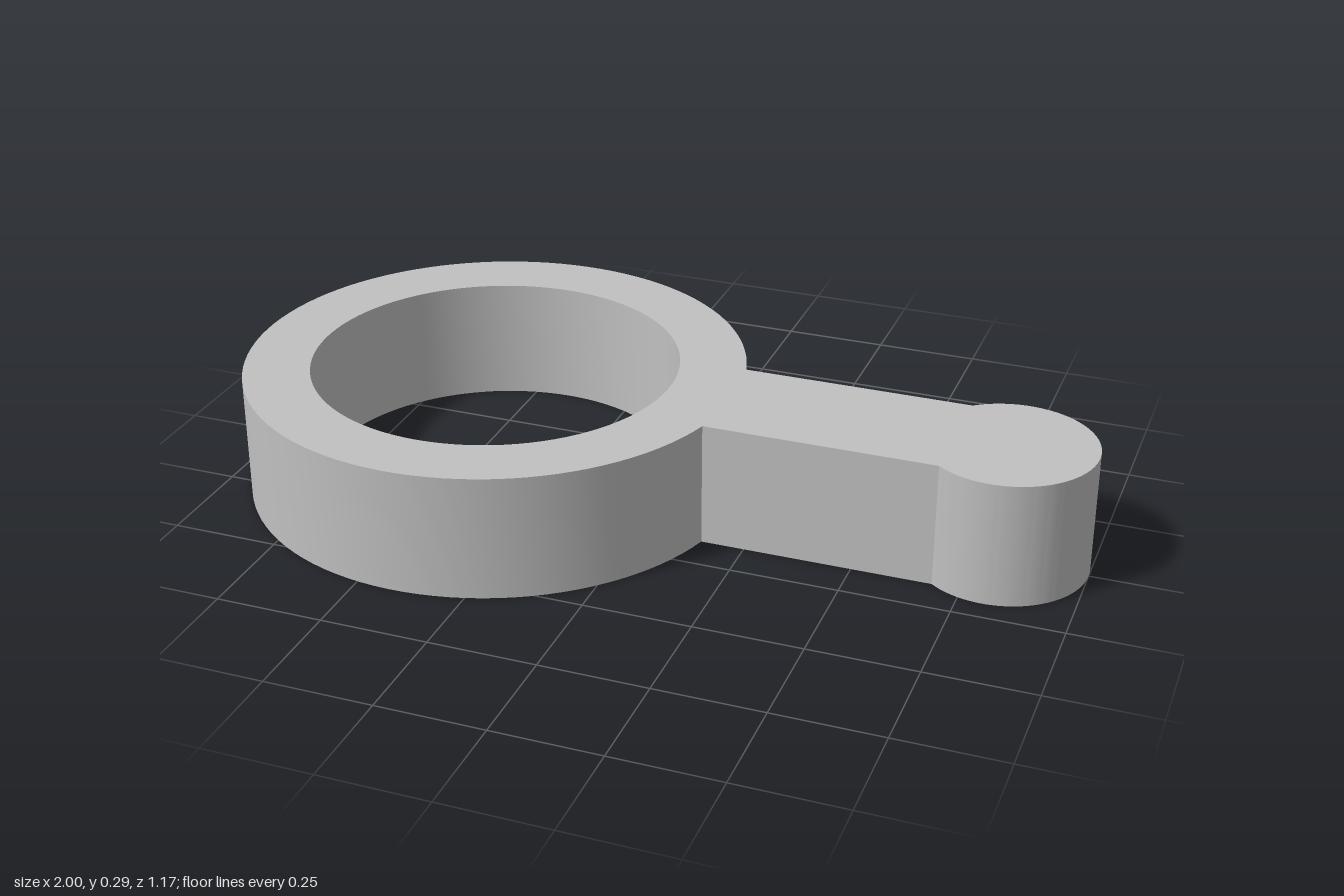
import * as THREE from 'three';
import { toCreasedNormals } from 'three/addons/utils/BufferGeometryUtils.js';

const HEIGHT = 0.293;
const RING = { x: -0.415, outer: 0.585, inner: 0.43 };
const KNOB = { x: 0.805, radius: 0.195 };
const ARM_HALF_WIDTH = 0.153;

export function createModel() {
  const group = new THREE.Group();
  group.name = 'ringWithHandle';
  const grey = new THREE.MeshStandardMaterial({ color: 0xc0c0c0 });
  grey.name = 'grey';

  // Angles at which the straight arm meets the ring and the knob
  const ringAngle = Math.asin(ARM_HALF_WIDTH / RING.outer);
  const knobAngle = Math.PI - Math.asin(ARM_HALF_WIDTH / KNOB.radius);

  // One continuous outline: around the ring, along the arm, around the knob
  const outline = new THREE.Shape();
  outline.absarc(RING.x, 0, RING.outer, ringAngle, 2 * Math.PI - ringAngle, false);
  outline.absarc(KNOB.x, 0, KNOB.radius, -knobAngle, knobAngle, false);
  outline.closePath();

  // Round opening through the ring
  const opening = new THREE.Path();
  opening.absarc(RING.x, 0, RING.inner, 0, 2 * Math.PI, true);
  outline.holes.push(opening);

  // Extrude upward, with smooth walls and sharp edges
  const body = new THREE.ExtrudeGeometry(outline, { depth: HEIGHT, bevelEnabled: false, curveSegments: 48 });
  body.rotateX(-Math.PI / 2);
  const mesh = new THREE.Mesh(toCreasedNormals(body, 0.4), grey);
  mesh.name = 'ringArmAndKnob';
  group.add(mesh);
  return group;
}
